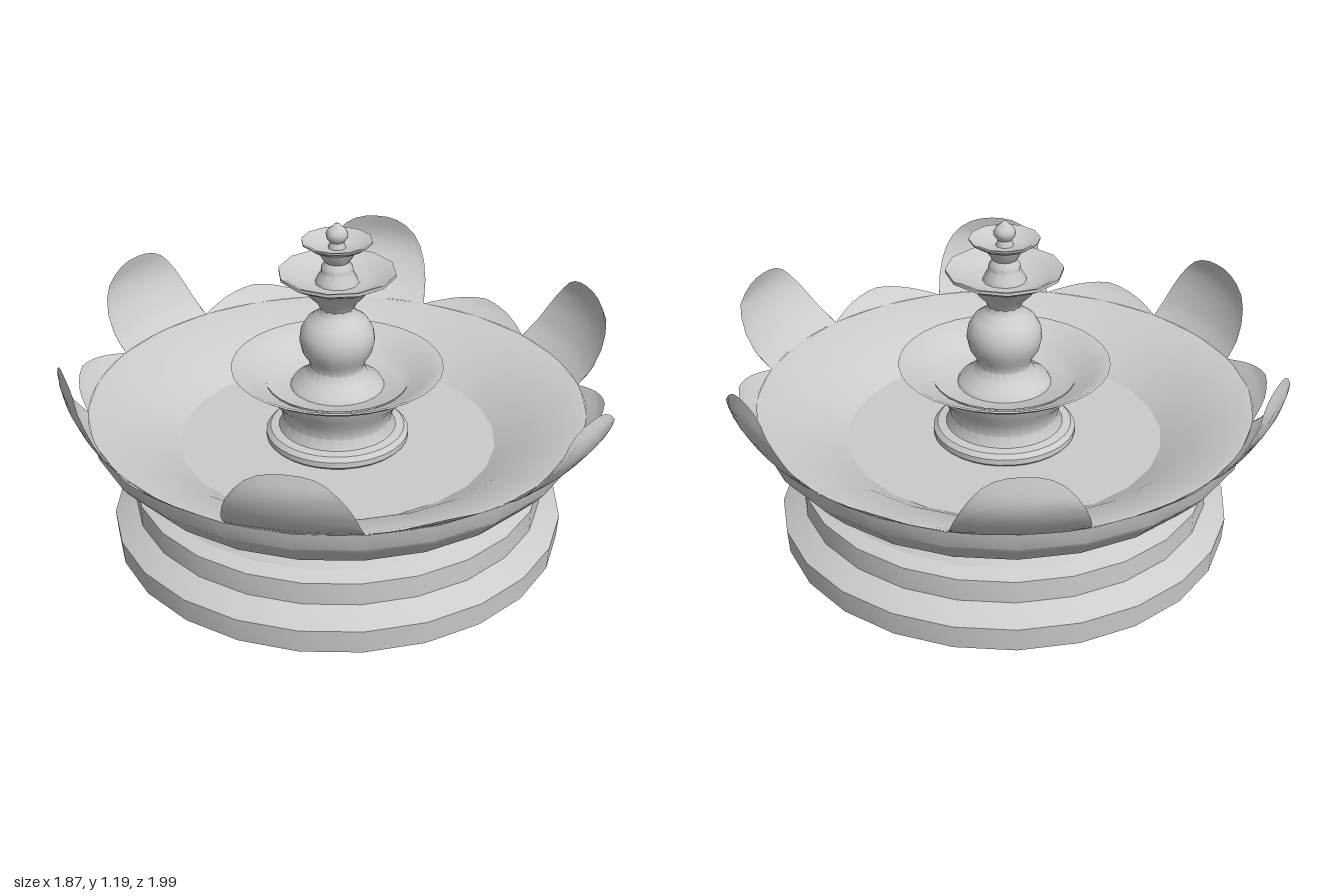
import * as THREE from 'three';
import { toCreasedNormals } from 'three/addons/utils/BufferGeometryUtils.js';

const material = new THREE.MeshStandardMaterial({ color: 0xcccccc });
const thinMaterial = new THREE.MeshStandardMaterial({ color: 0xcccccc, side: THREE.DoubleSide });

// Turned part from [radius, height] pairs, outside going up and inside going down
function turned(name, profile, segments, crease = 0.6) {
  const points = profile.map(([r, y]) => new THREE.Vector2(r, y));
  const mesh = new THREE.Mesh(toCreasedNormals(new THREE.LatheGeometry(points, segments), crease), material);
  mesh.name = name;
  return mesh;
}

// Outward flare of the petals as [rise above rim, distance past rim]
const flare = [[0, 0], [0.03, 0.045], [0.06, 0.075], [0.13, 0.125], [0.2, 0.15], [0.28, 0.135]];
function flareAt(h) {
  let i = 1;
  while (i < flare.length - 1 && h > flare[i][0]) i++;
  const [a, b] = [flare[i - 1], flare[i]];
  return THREE.MathUtils.mapLinear(h, a[0], b[0], a[1], b[1]);
}

// Curved sheet standing on the rim: heightAt(u) for u from -1 to 1 across it
function petal(name, degrees, halfDegrees, heightAt, lean) {
  const columns = 16, rows = 8, rimRadius = 0.86, rimY = 0.53;
  const mid = THREE.MathUtils.degToRad(degrees);
  const half = THREE.MathUtils.degToRad(halfDegrees);
  const positions = [], index = [];
  for (let i = 0; i <= columns; i++) {
    const u = -Math.cos((i / columns) * Math.PI);
    const a = mid + u * half;
    for (let j = 0; j <= rows; j++) {
      const h = heightAt(u) * j / rows;
      const push = flareAt(h) * lean;
      positions.push(
        rimRadius * Math.cos(a) + push * Math.cos(mid),
        rimY + h,
        rimRadius * Math.sin(a) + push * Math.sin(mid));
      if (i < columns && j < rows) {
        const k = i * (rows + 1) + j, n = k + rows + 1;
        index.push(k, k + 1, n, n, k + 1, n + 1);
      }
    }
  }
  const geometry = new THREE.BufferGeometry();
  geometry.setAttribute('position', new THREE.Float32BufferAttribute(positions, 3));
  geometry.setIndex(index);
  geometry.computeVertexNormals();
  const mesh = new THREE.Mesh(geometry, thinMaterial);
  mesh.name = name;
  return mesh;
}

export function createModel() {
  const fountain = new THREE.Group();
  fountain.name = 'fountain';
  fountain.position.set(-0.025, 0, -0.02);

  // Stepped base with its cove, and the inside of the large pool
  fountain.add(turned('poolBase', [
    [0, 0], [0.79, 0.035], [0.796, 0.12], [0.72, 0.17], [0.72, 0.25],
    [0.67, 0.27], [0.65, 0.295], [0.65, 0.32], [0.68, 0.342], [0.765, 0.37],
    [0.83, 0.44], [0.85, 0.465], [0.865, 0.53],
    [0.85, 0.53], [0.655, 0.45], [0.555, 0.385], [0, 0.385],
  ], 24, 0.45));

  // Lower basin on its ringed foot
  fountain.add(turned('lowerBasin', [
    [0.235, 0.38], [0.25, 0.395], [0.25, 0.415], [0.235, 0.43], [0.205, 0.435],
    [0.19, 0.47], [0.2, 0.52], [0.235, 0.56], [0.25, 0.615], [0.29, 0.63],
    [0.335, 0.643], [0.367, 0.665],
    [0.355, 0.665], [0.31, 0.64], [0.26, 0.615], [0.22, 0.59], [0, 0.585],
  ], 32));

  // Vase-shaped stem
  fountain.add(turned('vaseStem', [
    [0.165, 0.585], [0.155, 0.605], [0.11, 0.63], [0.092, 0.66], [0.1, 0.69],
    [0.12, 0.72], [0.13, 0.765], [0.125, 0.8], [0.105, 0.835], [0.07, 0.86],
    [0.057, 0.88], [0.06, 0.9],
  ], 24, 0.8));

  // Middle basin
  fountain.add(turned('middleBasin', [
    [0.057, 0.88], [0.07, 0.905], [0.1, 0.935], [0.115, 0.96], [0.155, 0.98],
    [0.2, 1.005], [0.2, 1.016], [0.185, 1.012], [0.14, 0.985], [0.1, 0.975], [0, 0.975],
  ], 12));

  // Upper stem and top basin
  fountain.add(turned('topBasin', [
    [0.075, 0.975], [0.07, 0.99], [0.055, 1.015], [0.055, 1.03], [0.042, 1.05],
    [0.055, 1.07], [0.065, 1.09], [0.09, 1.1], [0.12, 1.12], [0.12, 1.126],
    [0.105, 1.122], [0.07, 1.1], [0, 1.1],
  ], 12));

  // Finial
  fountain.add(turned('finial', [
    [0.03, 1.1], [0.024, 1.12], [0.036, 1.135], [0.038, 1.15], [0.03, 1.165],
    [0.014, 1.176], [0.01, 1.183], [0, 1.186],
  ], 12, 0.9));

  // Six large petals, each with its own lean and height, and low scallops between them
  const petals = [[90, 1, 0.26], [30, 0.8, 0.27], [-30, 1.08, 0.293],
    [-90, 0.81, 0.28], [210, 0.6, 0.27], [150, 0.78, 0.27]];
  for (const [degrees, lean, height] of petals) {
    const rounded = (u) => height * Math.sqrt(Math.max(0, 1 - Math.abs(u) ** 2.5));
    fountain.add(petal('petal', degrees, 14.5, rounded, lean));
    const scallop = (u) => 0.055 * Math.max(0, 1 - Math.abs(u) ** 1.5);
    fountain.add(petal('rimScallop', degrees + 30, 15.5, scallop, 0.85));
  }
  return fountain;
}
